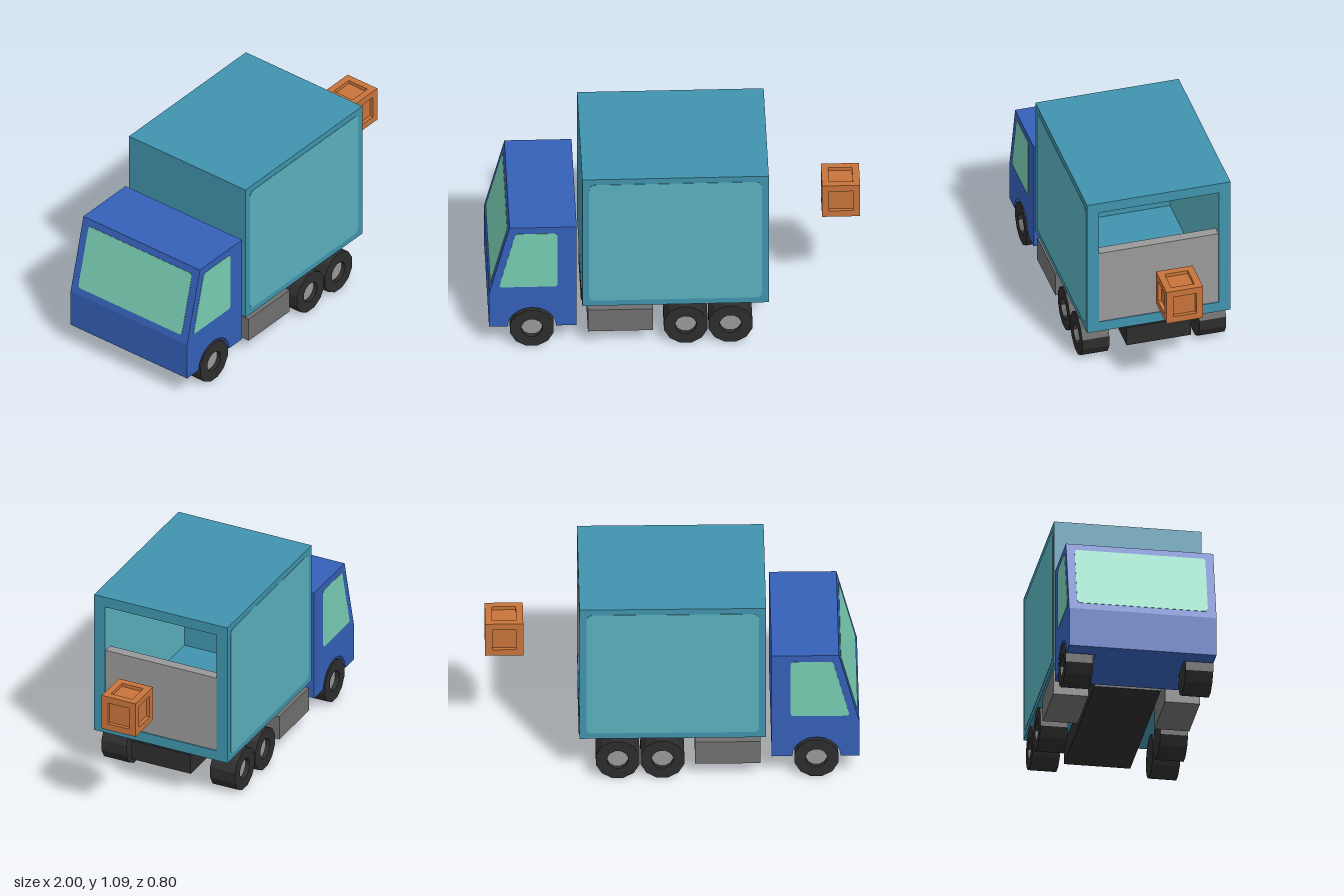
import * as THREE from 'three';

const mat = (name, color) => {
  const m = new THREE.MeshStandardMaterial({ color });
  m.name = name;
  return m;
};

// Closed outline from corner points, each corner rounded by r
function rounded(points, r) {
  const v = points.map(([x, y]) => new THREE.Vector2(x, y));
  const s = new THREE.Shape();
  v.forEach((p, i) => {
    const prev = v[(i + v.length - 1) % v.length], next = v[(i + 1) % v.length];
    const a = prev.clone().sub(p).setLength(r).add(p);
    const b = next.clone().sub(p).setLength(r).add(p);
    if (i === 0) s.moveTo(a.x, a.y); else s.lineTo(a.x, a.y);
    s.quadraticCurveTo(p.x, p.y, b.x, b.y);
  });
  s.closePath();
  return s;
}

const rect = (x0, y0, x1, y1) => [[x0, y0], [x1, y0], [x1, y1], [x0, y1]];
const polygon = (pts) => new THREE.Shape(pts.map(([x, y]) => new THREE.Vector2(x, y)));
const extrude = (shape, depth) =>
  new THREE.ExtrudeGeometry(shape, { depth, bevelEnabled: false, curveSegments: 6 });

export function createModel() {
  const blue = mat('cab blue', 0x3560b8);
  const teal = mat('cargo teal', 0x4093ad);
  const lightTeal = mat('panel light teal', 0x59b0bd);
  const glass = mat('window green', 0x78cdb4);
  const black = mat('tyre black', 0x2d2d2d);
  const darkGrey = mat('tank grey', 0x707070);
  const grey = mat('hub grey', 0x999999);
  const orange = mat('crate orange', 0xc8733a);

  const model = new THREE.Group();
  model.name = 'truck';

  const add = (parent, name, geometry, material, x = 0, y = 0, z = 0) => {
    const m = new THREE.Mesh(geometry, material);
    m.name = name;
    m.position.set(x, y, z);
    parent.add(m);
    return m;
  };
  // Box given by its min and max corners
  const box = (parent, name, material, [x0, y0, z0], [x1, y1, z1]) =>
    add(parent, name, new THREE.BoxGeometry(x1 - x0, y1 - y0, z1 - z0), material,
      (x0 + x1) / 2, (y0 + y1) / 2, (z0 + z1) / 2);

  // Cab: solid core, with outer slices cut by the wheel arches
  const cab = new THREE.Group();
  cab.name = 'cab';
  model.add(cab);
  const upper = [[-0.53, 0.13], [-0.53, 0.78], [-0.89, 0.78], [-1, 0.35], [-1, 0.13]];
  add(cab, 'cabCore', extrude(polygon(upper), 0.48), blue, 0, 0, -0.24);
  const arch = [];
  for (let i = 0; i <= 10; i++) {
    const a = Math.PI * (1 - i / 10);
    arch.push([-0.77 + 0.13 * Math.cos(a), 0.13 + 0.122 * Math.sin(a)]);
  }
  const sideGeo = extrude(polygon([...upper, ...arch]), 0.16);
  add(cab, 'cabSideLeft', sideGeo, blue, 0, 0, 0.24);
  add(cab, 'cabSideRight', sideGeo, blue, 0, 0, -0.4);

  // Side windows
  const windowGeo = extrude(
    rounded([[-0.948, 0.39], [-0.632, 0.39], [-0.632, 0.74], [-0.858, 0.74]], 0.02), 0.004);
  add(cab, 'sideWindow', windowGeo, glass, 0, 0, 0.398);
  add(cab, 'sideWindow', windowGeo, glass, 0, 0, -0.402);

  // Windscreen on the sloping face
  const slope = new THREE.Vector3(0.11, 0.43, 0);
  const h = slope.length() * 0.41;
  slope.normalize();
  const across = new THREE.Vector3(0, 0, 1);
  const out = across.clone().cross(slope);
  const screen = add(cab, 'windscreen',
    extrude(rounded(rect(-0.355, -h, 0.355, h), 0.02), 0.004), glass, -0.945, 0.565, 0);
  screen.quaternion.setFromRotationMatrix(new THREE.Matrix4().makeBasis(across, slope, out));
  screen.position.addScaledVector(out, -0.002);

  // Cargo box: hollow shell open at the tail
  const cargo = new THREE.Group();
  cargo.name = 'cargoBox';
  model.add(cargo);
  const y0 = 0.255, y1 = 1.09, in0 = 0.315, in1 = 1.03, inZ = 0.335;
  const shell = polygon(rect(-0.4, y0, 0.4, y1));
  shell.holes.push(new THREE.Path(
    rect(-inZ, in0, inZ, in1).reverse().map(([x, y]) => new THREE.Vector2(x, y))));
  add(cargo, 'cargoShell', extrude(shell, 0.94).rotateY(Math.PI / 2), teal, -0.44, 0, 0);
  box(cargo, 'frontWall', teal, [-0.5, y0, -0.4], [-0.44, y1, 0.4]);
  const panelGeo = extrude(rounded(rect(-0.463, 0.29, 0.463, 1.055), 0.035), 0.004);
  for (const s of [1, -1]) {
    add(cargo, 'sidePanel', panelGeo, lightTeal, 0, 0, s * 0.4 - 0.002);
    box(cargo, 'innerLining', lightTeal,
      [-0.44, in0, s * inZ - 0.002], [0.495, in1, s * inZ + 0.002]);
  }
  box(cargo, 'tailGate', grey, [0.44, in0, -inZ], [0.495, 0.76, inZ]);

  // Chassis and side tanks
  box(model, 'chassis', black, [-0.5, 0.133, -0.18], [0.5, 0.247, 0.18]);
  for (const s of [1, -1]) {
    add(model, 'sideTank', new THREE.BoxGeometry(0.35, 0.14, 0.19), darkGrey,
      -0.295, 0.155, s * 0.303);
  }

  // Wheels: faceted tyre with a sunken hub
  const profile = [[0, -0.075], [0.121, -0.075], [0.121, 0.075], [0.058, 0.075], [0.058, 0.048]];
  const tyreGeo = new THREE.LatheGeometry(
    profile.map(([r, y]) => new THREE.Vector2(r, y)), 12, Math.PI / 12)
    .rotateX(Math.PI / 2).toNonIndexed();
  tyreGeo.computeVertexNormals();
  const hubGeo = new THREE.CircleGeometry(0.06, 12, Math.PI / 12);
  for (const x of [-0.77, 0.055, 0.295]) {
    for (const s of [1, -1]) {
      const wheel = new THREE.Group();
      wheel.name = 'wheel';
      wheel.position.set(x, 0.117, s * 0.326);
      if (s < 0) wheel.rotation.y = Math.PI;
      add(wheel, 'tyre', tyreGeo, black);
      add(wheel, 'hub', hubGeo, grey, 0, 0, 0.05);
      model.add(wheel);
    }
  }

  // Floating crate: twelve beams around a sunken core
  const crate = new THREE.Group();
  crate.name = 'crate';
  crate.position.set(0.898, 0.698, 0);
  model.add(crate);
  add(crate, 'crateCore', new THREE.BoxGeometry(0.164, 0.164, 0.164), orange);
  const t = 0.038, o = 0.102 - t / 2, inner = 0.204 - 2 * t;
  for (const a of [o, -o]) {
    for (const b of [o, -o]) {
      add(crate, 'crateBeam', new THREE.BoxGeometry(0.204, t, t), orange, 0, a, b);
      add(crate, 'crateBeam', new THREE.BoxGeometry(t, inner, t), orange, a, 0, b);
      add(crate, 'crateBeam', new THREE.BoxGeometry(t, t, inner), orange, a, b, 0);
    }
  }
  return model;
}
